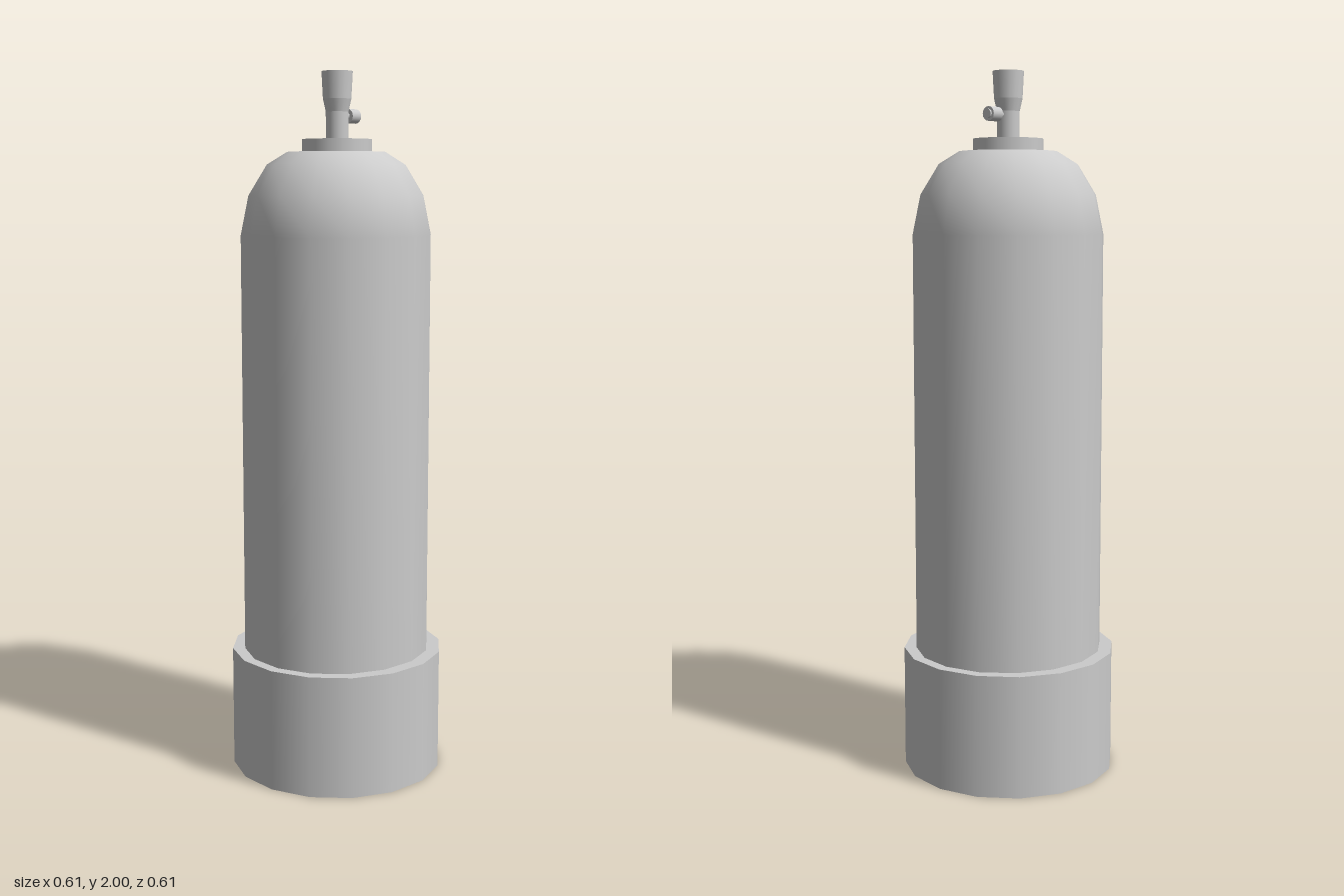
import * as THREE from 'three';

const SIDES = 16;

export function createModel() {
  const model = new THREE.Group();
  const material = new THREE.MeshStandardMaterial({ color: 0xcccccc });

  const add = (name, geometry, x = 0, y = 0, parent = model) => {
    const mesh = new THREE.Mesh(geometry, material);
    mesh.name = name;
    mesh.position.set(x, y, 0);
    parent.add(mesh);
    return mesh;
  };
  // Upright round part between two heights
  const drum = (name, rTop, rBottom, y0, y1, x = 0, open = false) =>
    add(name, new THREE.CylinderGeometry(rTop, rBottom, y1 - y0, SIDES, 1, open), x, (y0 + y1) / 2);
  // Round part lying along x
  const sideDrum = (name, r, x0, x1, y) =>
    add(name, new THREE.CylinderGeometry(r, r, x1 - x0, SIDES).rotateZ(-Math.PI / 2), (x0 + x1) / 2, y);

  // Wide foot that the bottle stands in
  drum('baseBoot', 0.307, 0.307, 0, 0.35);

  // Bottle with rounded shoulder, slightly narrower front to back
  const bottle = new THREE.Group();
  bottle.name = 'bottle';
  bottle.scale.z = 0.968;
  model.add(bottle);
  const profile = [[0.276, 0.3], [0.276, 1.55], [0.253, 1.66], [0.2, 1.745], [0.142, 1.78]]
    .map(([r, y]) => new THREE.Vector2(r, y));
  add('bottleBody', new THREE.LatheGeometry(profile, SIDES), 0, 0, bottle);
  add('bottleTop', new THREE.CircleGeometry(0.142, SIDES).rotateX(-Math.PI / 2), 0, 1.78, bottle);

  // Neck collar and valve
  drum('neckCollar', 0.099, 0.099, 1.775, 1.815, 0.002);
  drum('valveStem', 0.032, 0.032, 1.81, 1.92, 0.002);
  drum('valveTaper', 0.04, 0.032, 1.89, 1.925, 0.002, true);
  drum('valveKnob', 0.044, 0.04, 1.925, 2, 0.002);

  // Side outlet
  sideDrum('outletPipe', 0.009, 0.02, 0.06, 1.88);
  sideDrum('outletNut', 0.02, 0.049, 0.089, 1.88);
  sideDrum('outletTip', 0.013, 0.085, 0.095, 1.88);

  return model;
}
